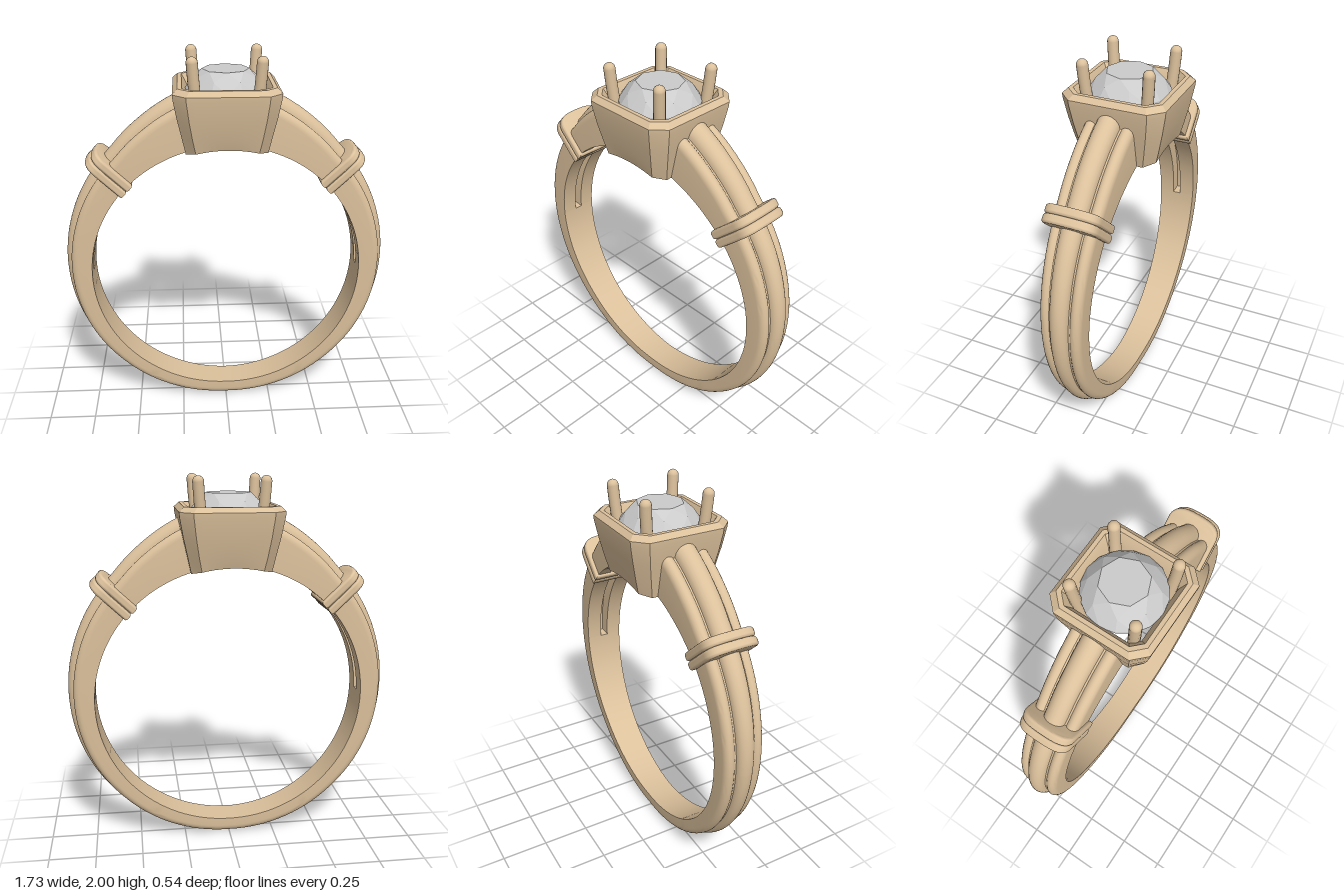
import * as THREE from 'three';
import { toCreasedNormals } from 'three/addons/utils/BufferGeometryUtils.js';
import { ConvexGeometry } from 'three/addons/geometries/ConvexGeometry.js';

const CY = 0.82, RI = 0.725; // finger hole centre height and radius
const metal = new THREE.MeshStandardMaterial({ color: 0xdcc19c });
const stone = new THREE.MeshStandardMaterial({ color: 0xcccccc, flatShading: true });

// Skin a list of closed rings (arrays of [x, y, z])
function loft(rings, closed, crease) {
  const n = rings[0].length, pos = rings.flat(2), idx = [];
  const last = closed ? rings.length : rings.length - 1;
  for (let i = 0; i < last; i++) {
    const r0 = i * n, r1 = ((i + 1) % rings.length) * n;
    for (let j = 0; j < n; j++) {
      const k = (j + 1) % n;
      idx.push(r0 + j, r0 + k, r1 + j, r0 + k, r1 + k, r1 + j);
    }
  }
  const g = new THREE.BufferGeometry();
  g.setAttribute('position', new THREE.Float32BufferAttribute(pos, 3));
  g.setIndex(idx);
  return toCreasedNormals(g, crease);
}

function add(parent, geometry, material, name) {
  const m = new THREE.Mesh(geometry, material);
  m.name = name;
  parent.add(m);
  return m;
}

// Band keys: degrees from the bottom, half width, rail radius, ridge radius, ridge half width
const KEYS = [
  [0, 0.08, 0.806, 0.815, 0.018],
  [45, 0.09, 0.814, 0.832, 0.03],
  [90, 0.106, 0.834, 0.864, 0.045],
  [110, 0.112, 0.846, 0.881, 0.05],
  [130, 0.117, 0.862, 0.901, 0.054],
  [139, 0.122, 0.872, 0.914, 0.056],
  [152, 0.126, 0.908, 0.954, 0.058],
  [165, 0.128, 0.95, 1.0, 0.06],
];
function bandAt(a) {
  let i = 0;
  while (i < KEYS.length - 2 && a > KEYS[i + 1][0]) i++;
  const p = KEYS[i], q = KEYS[i + 1], t = (a - p[0]) / (q[0] - p[0]);
  return p.map((v, k) => v + (q[k] - v) * t).slice(1);
}

// Cross-section: hollowed inside face, two rounded rails and a raised middle ridge
function bandRing(deg, g, d) {
  const [w, ro, top, c] = bandAt(Math.abs(deg));
  const a = (w - c) * 0.6, base = ro - a * 0.3, half = [];
  half.push([g, RI + d], [g, RI], [w, RI]);
  for (let i = 0; i <= 8; i++) {
    const t = (i / 8) * Math.PI * 0.75;
    half.push([(w + c) / 2 + ((w - c) / 2) * Math.cos(t), ro - a + a * Math.sin(t)]);
  }
  for (let i = 0; i < 6; i++) {
    const u = (i / 6) * Math.PI / 2;
    half.push([c * Math.cos(u), base + (top - base) * Math.sin(u)]);
  }
  const all = [...half, [0, top], ...half.slice().reverse().map(([z, r]) => [-z, r])];
  const f = THREE.MathUtils.degToRad(deg);
  return all.map(([z, r]) => [r * Math.sin(f), CY - r * Math.cos(f), z]);
}

function bandGeometry() {
  // Spans of angle with the half width and depth of the inside channel
  const spans = [[0, 90, 0.022, 0], [90.3, 130, 0.022, 0.07], [130.3, 137, 0.022, 0], [137.3, 165, 0.05, 0.1]];
  const side = [];
  for (const [from, to, g, d] of spans) {
    const n = Math.ceil((to - from) / 3);
    for (let i = 0; i <= n; i++) side.push([from + ((to - from) * i) / n, g, d]);
  }
  const steps = [...side.slice(1).reverse().map(([f, g, d]) => [-f, g, d]), ...side];
  return loft(steps.map((s) => bandRing(...s)), false, 0.6);
}

// Head: chamfered square frame whose underside follows the finger hole
function headGeometry() {
  const rows = [ // half size, corner cut, height (null = on the finger hole)
    [0.208, 0.05, null], [0.226, 0.054, 1.6], [0.248, 0.06, 1.7], [0.266, 0.066, 1.8],
    [0.268, 0.067, 1.825], [0.243, 0.06, 1.85], [0.222, 0.05, 1.85],
    [0.19, 0.04, 1.79], [0.17, 0.04, null],
  ];
  const rings = rows.map(([h, k, y]) => {
    const ring = [];
    for (let q = 0; q < 4; q++) {
      for (let i = 0; i <= 10; i++) {
        let x = (h - k) * (i / 5 - 1), z = h;
        for (let r = 0; r < q; r++) [x, z] = [z, -x];
        ring.push([x, y ?? CY + Math.sqrt(RI * RI - x * x), z]);
      }
    }
    return ring;
  });
  return loft(rings, true, 0.45);
}

// Collar hoop: arched plate standing across the band
function hoopGeometry(halfWidth, crown, depth, bevel) {
  const w = halfWidth - bevel, s = new THREE.Shape();
  s.moveTo(-w, 0.722);
  s.lineTo(w, 0.722);
  s.lineTo(w, crown - 0.085);
  s.bezierCurveTo(w, crown - 0.02, w * 0.6, crown - bevel, 0, crown - bevel);
  s.bezierCurveTo(-w * 0.6, crown - bevel, -w, crown - 0.02, -w, crown - 0.085);
  const g = new THREE.ExtrudeGeometry(s, {
    depth: depth - 2 * bevel, bevelThickness: bevel, bevelSize: bevel, bevelSegments: 4, curveSegments: 12,
  });
  g.translate(0, 0, bevel - depth / 2);
  return toCreasedNormals(g, 0.6);
}

function createCollar(side) {
  const collar = new THREE.Group();
  const f = THREE.MathUtils.degToRad(133.5) * side;
  const X = new THREE.Vector3(0, 0, 1), Y = new THREE.Vector3(Math.sin(f), -Math.cos(f), 0);
  collar.quaternion.setFromRotationMatrix(new THREE.Matrix4().makeBasis(X, Y, X.clone().cross(Y)));
  collar.position.y = CY;
  add(collar, hoopGeometry(0.132, 0.935, 0.07, 0.004), metal, 'collarCore');
  for (const s of [-1, 1]) {
    add(collar, hoopGeometry(0.14, 0.965, 0.046, 0.014), metal, 'collarHoop').position.z = s * 0.023;
  }
  return collar;
}

// Round faceted stone
function gemGeometry() {
  const pts = [new THREE.Vector3(0, 1.6, 0)];
  const ring = (n, r, y, turn) => {
    for (let i = 0; i < n; i++) {
      const a = ((i + turn) / n) * Math.PI * 2;
      pts.push(new THREE.Vector3(r * Math.sin(a), y, r * Math.cos(a)));
    }
  };
  ring(8, 0.12, 1.91, 0);
  ring(8, 0.168, 1.87, 0.5);
  ring(16, 0.205, 1.815, 0);
  ring(16, 0.205, 1.805, 0);
  ring(8, 0.11, 1.695, 0.5);
  return new ConvexGeometry(pts);
}

export function createModel() {
  const ring = new THREE.Group();
  ring.name = 'ring';
  add(ring, bandGeometry(), metal, 'band');
  add(ring, headGeometry(), metal, 'head');
  add(ring, gemGeometry(), stone, 'gem');

  for (const side of [-1, 1]) {
    const collar = createCollar(side);
    collar.name = side > 0 ? 'leftCollar' : 'rightCollar';
    ring.add(collar);
  }

  // Four prongs leaning slightly outward, with round tips
  for (const sx of [-1, 1]) for (const sz of [-1, 1]) {
    const at = (o, y) => new THREE.Vector3(sx * o, y, sz * o);
    const path = new THREE.CatmullRomCurve3([at(0.14, 1.62), at(0.152, 1.75), at(0.163, 1.87), at(0.17, 1.971)]);
    const prong = new THREE.Group();
    prong.name = 'prong';
    add(prong, new THREE.TubeGeometry(path, 12, 0.029, 16), metal, 'prongStem');
    add(prong, new THREE.SphereGeometry(0.029, 16, 12), metal, 'prongTip').position.copy(at(0.17, 1.971));
    ring.add(prong);
  }
  return ring;
}
